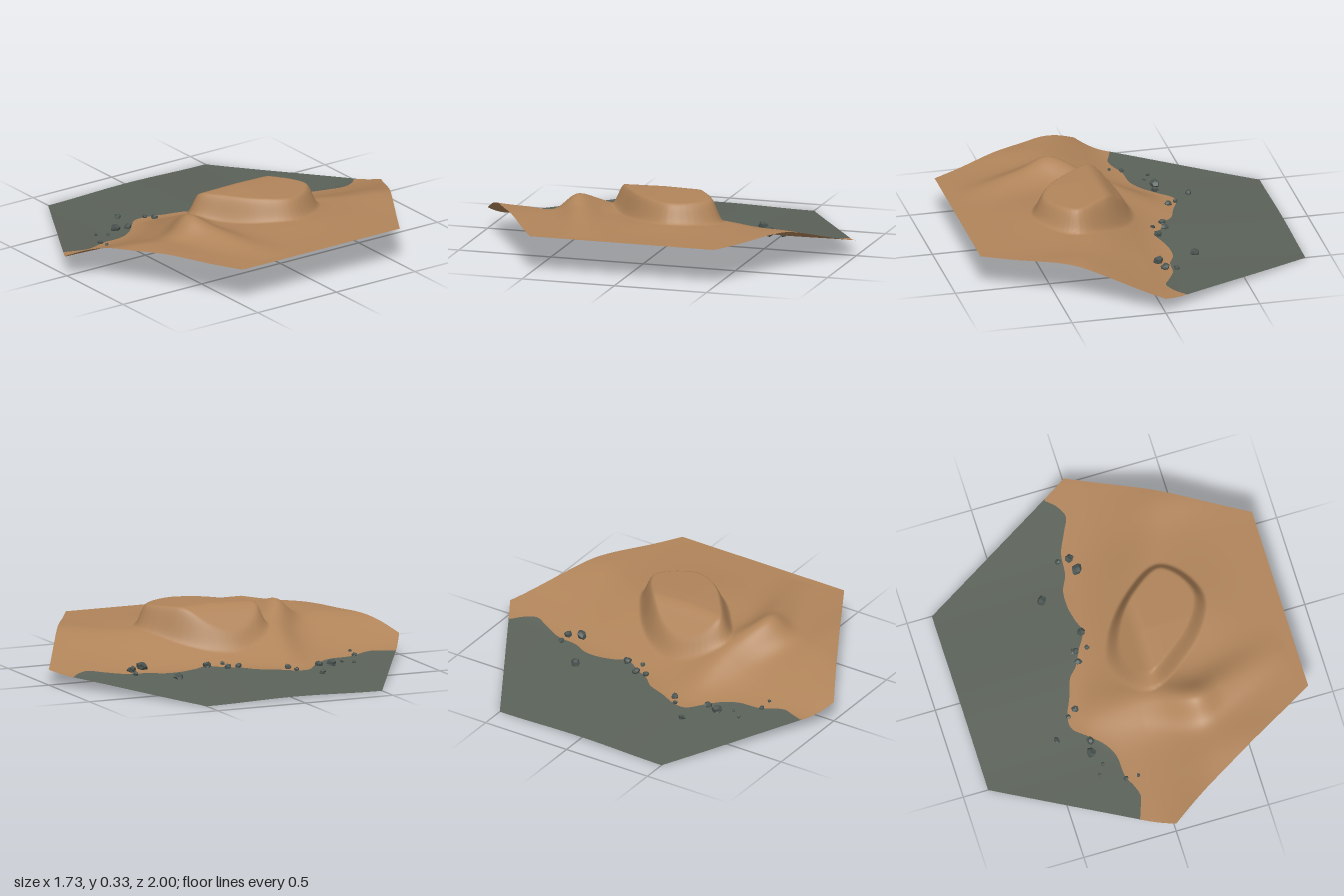
import * as THREE from 'three';

const sm = (a, b, v) => {
  const t = Math.min(1, Math.max(0, (v - a) / (b - a)));
  return t * t * (3 - 2 * t);
};
const mix = (a, b, t) => a + (b - a) * t;

// Smooth one-dimensional curve through [position, value] pairs
function curve(pts) {
  const P = i => pts[Math.min(pts.length - 1, Math.max(0, i))];
  return v => {
    if (v <= P(0)[0]) return P(0)[1];
    if (v >= P(pts.length)[0]) return P(pts.length)[1];
    let i = 0;
    while (v > pts[i + 1][0]) i++;
    const [p0, p1, p2, p3] = [P(i - 1), P(i), P(i + 1), P(i + 2)];
    const d = p2[0] - p1[0], t = (v - p1[0]) / d;
    const m1 = (p2[1] - p0[1]) / (p2[0] - p0[0]) * d;
    const m2 = (p3[1] - p1[1]) / (p3[0] - p1[0]) * d;
    return (2 * t ** 3 - 3 * t * t + 1) * p1[1] + (t ** 3 - 2 * t * t + t) * m1
      + (3 * t * t - 2 * t ** 3) * p2[1] + (t ** 3 - t * t) * m2;
  };
}

// Shoreline between gravel and sand: z -> x
const shore = curve([[-0.92, -0.13], [-0.87, -0.08], [-0.8, -0.05], [-0.73, -0.08],
  [-0.62, -0.13], [-0.5, -0.145], [-0.42, -0.18], [-0.33, -0.185], [-0.25, -0.17],
  [-0.17, -0.15], [-0.08, -0.2], [0, -0.24], [0.05, -0.285], [0.15, -0.32],
  [0.25, -0.36], [0.32, -0.355], [0.38, -0.29], [0.45, -0.22], [0.53, -0.18],
  [0.65, -0.17], [0.72, -0.14], [0.78, -0.125], [0.83, -0.14], [0.9, -0.165]]);

// Foot and head of the sand slope: z -> x
const foot = curve([[-1, -0.12], [-0.5, -0.15], [0, -0.22], [0.28, -0.33], [0.55, -0.2], [1, -0.13]]);
const head = curve([[-1, 0.47], [-0.7, 0.45], [-0.35, 0.28], [0, 0.2], [0.25, 0.25], [0.5, 0.36], [0.75, 0.3], [1, 0.2]]);

// Ridge: crest line and height along x
const crestZ = curve([[-0.2, 0.27], [0.05, 0.33], [0.27, 0.42], [0.45, 0.37], [0.75, 0.27]]);
const crestY = curve([[-0.3, 0], [-0.1, 0.025], [0.1, 0.055], [0.27, 0.1], [0.42, 0.06], [0.6, 0.028], [0.82, 0]]);

// Mesa rim outline in x, z
const rim = new THREE.CatmullRomCurve3([[0.3, -0.335], [0.4, -0.27], [0.465, -0.12], [0.4, 0.03],
  [0.25, 0.17], [0.1, 0.26], [0.01, 0.21], [-0.05, 0.06], [0, -0.1], [0.14, -0.25]]
  .map(([x, z]) => new THREE.Vector3(x, 0, z)), true).getPoints(50);

// Signed distance to the rim, negative inside
function rimDistance(x, z) {
  let d = Infinity, inside = false;
  for (let i = 0; i < rim.length - 1; i++) {
    const a = rim[i], b = rim[i + 1], ex = b.x - a.x, ez = b.z - a.z;
    const t = Math.min(1, Math.max(0, ((x - a.x) * ex + (z - a.z) * ez) / (ex * ex + ez * ez)));
    d = Math.min(d, Math.hypot(x - a.x - ex * t, z - a.z - ez * t));
    if ((a.z > z) !== (b.z > z) && x < a.x + ex * (z - a.z) / ez) inside = !inside;
  }
  return inside ? -d : d;
}

function height(x, z) {
  const bed = 0.004 + 0.058 * Math.min(1, (x + 0.866) / 0.866) + 0.01 * Math.cos(Math.PI * z) ** 2;
  let y = mix(bed, 0.2, sm(foot(z), head(z), x));
  const dz = z - crestZ(x), width = dz > 0 ? 0.09 : 0.11;
  y += crestY(x) * Math.exp(-((dz / width) ** 2));
  y += 0.015 * Math.exp(-(((x - 0.47) / 0.25) ** 2) - ((Math.abs(z) - 0.7) / 0.13) ** 2);
  y += 0.02 * Math.exp(-(((x - 0.45) / 0.18) ** 2) - ((z + 0.1) / 0.25) ** 2);
  if (x > -0.15 && x < 0.56 && Math.abs(z) < 0.42) {
    const flank = 0.16 + 1.05 * (x + 0.06), cap = 0.333 - 0.04 * Math.max(0, x - 0.2) - 0.03 * Math.abs(z);
    const k = 0.04, b = Math.max(0, k - Math.abs(flank - cap)) / k;
    const top = Math.min(flank, cap) - b * b * k / 4;
    y = mix(y, Math.max(y, top), sm(0.035, -0.035, rimDistance(x, z)));
  }
  return y;
}

// Hexagonal ground sheet, its grid columns following the shoreline
function terrainGeometry() {
  const rows = 200, west = 30, east = 140, cols = west + east;
  const pos = [], gravel = [], sand = [];
  for (let r = 0; r <= rows; r++) {
    const z = -1 + 2 * r / rows;
    const half = 0.866 * Math.min(1, (1 - Math.abs(z)) / 0.5);
    const mid = Math.max(shore(z), -half);
    for (let c = 0; c <= cols; c++) {
      const x = c <= west ? mix(-half, mid, c / west) : mix(mid, half, (c - west) / east);
      pos.push(x, height(x, z), z);
      if (r < rows && c < cols) {
        const a = r * (cols + 1) + c, d = a + cols + 1;
        (c < west ? gravel : sand).push(a, d, a + 1, a + 1, d, d + 1);
      }
    }
  }
  const g = new THREE.BufferGeometry();
  g.setAttribute('position', new THREE.Float32BufferAttribute(pos, 3));
  g.setIndex(gravel.concat(sand));
  g.addGroup(0, gravel.length, 0);
  g.addGroup(gravel.length, sand.length, 1);
  g.computeVertexNormals();
  return g;
}

// Faceted stone with corners pushed in and out by a rule
function stoneGeometry(seed) {
  const g = new THREE.DodecahedronGeometry(1, 0), p = g.attributes.position, v = new THREE.Vector3();
  for (let i = 0; i < p.count; i++) {
    v.fromBufferAttribute(p, i);
    v.multiplyScalar(1 + 0.18 * Math.sin(v.x * 5 + v.y * 7 + v.z * 3 + seed * 2.4));
    p.setXYZ(i, v.x, v.y, v.z);
  }
  g.computeVertexNormals();
  return g;
}

export function createModel() {
  const gravel = new THREE.MeshStandardMaterial({ color: 0x5b6259, side: THREE.DoubleSide });
  gravel.name = 'gravel';
  const sand = new THREE.MeshStandardMaterial({ color: 0xb0845a, side: THREE.DoubleSide });
  sand.name = 'sand';
  const stone = new THREE.MeshStandardMaterial({ color: 0x4a5450, flatShading: true });
  stone.name = 'stone';

  const model = new THREE.Group();
  model.name = 'terrainTile';
  const terrain = new THREE.Mesh(terrainGeometry(), [gravel, sand]);
  terrain.name = 'terrain';
  model.add(terrain);

  // Stones scattered along the shore: x, z, radius
  const stones = new THREE.Group();
  stones.name = 'shoreStones';
  [[-0.16, -0.58, 0.016], [-0.1, -0.575, 0.023], [-0.08, -0.505, 0.029], [-0.3, -0.4, 0.025],
    [-0.16, -0.17, 0.022], [-0.155, -0.08, 0.013], [-0.22, -0.08, 0.02], [-0.22, -0.02, 0.019],
    [-0.31, 0.22, 0.019], [-0.355, 0.25, 0.013], [-0.45, 0.355, 0.018], [-0.285, 0.41, 0.02],
    [-0.3, 0.475, 0.027], [-0.262, 0.55, 0.01], [-0.295, 0.605, 0.01], [-0.17, 0.665, 0.014],
    [-0.105, 0.67, 0.01]].forEach(([x, z, r], i) => {
    const m = new THREE.Mesh(stoneGeometry(i), stone);
    m.name = 'stone' + (i + 1);
    m.position.set(x, height(x, z) + r * 0.4, z);
    m.scale.set(r, r * 0.85, r);
    m.rotation.y = i * 1.7;
    stones.add(m);
  });
  model.add(stones);
  return model;
}
